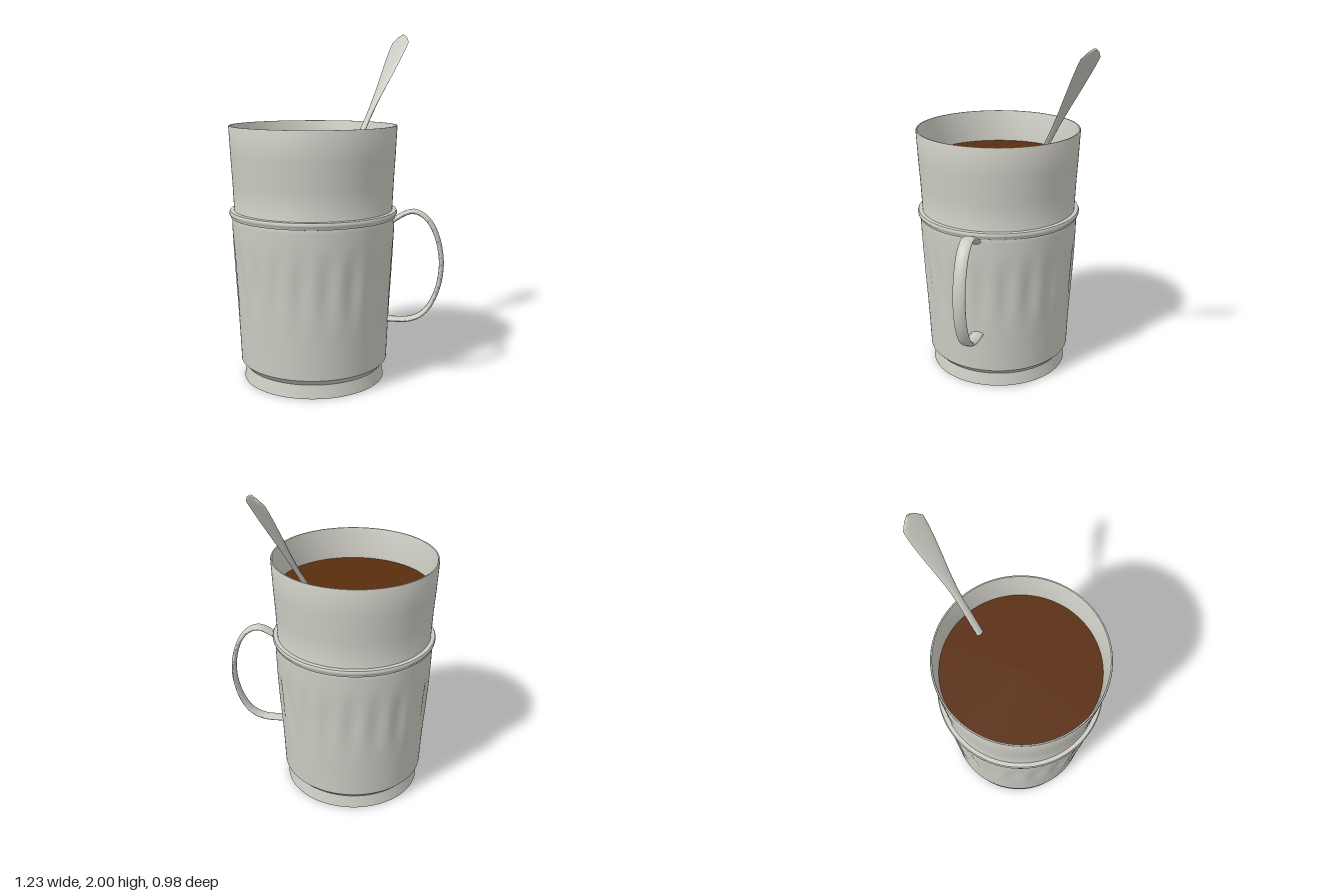
import * as THREE from 'three';
import { toCreasedNormals } from 'three/addons/utils/BufferGeometryUtils.js';

const metal = new THREE.MeshStandardMaterial({ color: 0xcdccc4 });
metal.name = 'metal';
const coffee = new THREE.MeshStandardMaterial({ color: 0x5a2d0f });
coffee.name = 'coffee';

const LEVEL = 1.28; // height of the drink
const SEGMENTS = 160;
const FLUTES = 20;

function part(name, geometry, material) {
  const mesh = new THREE.Mesh(geometry, material);
  mesh.name = name;
  return mesh;
}

function lathe(points) {
  return new THREE.LatheGeometry(points.map(([r, y]) => new THREE.Vector2(r, y)), SEGMENTS);
}

// Skin elliptical sections { c, u, v }, where u x v points along the path
function loft(sections, sides) {
  const positions = [], index = [];
  const last = sections.length - 1;
  for (const { c, u, v } of sections) {
    for (let j = 0; j < sides; j++) {
      const a = (j / sides) * Math.PI * 2;
      const p = c.clone().addScaledVector(u, Math.cos(a)).addScaledVector(v, Math.sin(a));
      positions.push(p.x, p.y, p.z);
    }
  }
  const start = sections.length * sides;
  positions.push(...sections[0].c.toArray(), ...sections[last].c.toArray());
  for (let j = 0; j < sides; j++) {
    const k = (j + 1) % sides;
    for (let i = 0; i < last; i++) {
      const a = i * sides, b = a + sides;
      index.push(a + j, a + k, b + k, a + j, b + k, b + j);
    }
    index.push(start, k, j, start + 1, last * sides + j, last * sides + k);
  }
  const geometry = new THREE.BufferGeometry();
  geometry.setAttribute('position', new THREE.Float32BufferAttribute(positions, 3));
  geometry.setIndex(index);
  return toCreasedNormals(geometry, 0.9);
}

// Tumbler wall with recessed foot, bevel, tapered sides and open top
function cupGeometry() {
  const side = new THREE.CatmullRomCurve3([
    [0.427, 0.11], [0.437, 0.33], [0.455, 0.6], [0.464, 0.8], [0.467, 0.955],
  ].map(([r, y]) => new THREE.Vector3(r, y, 0))).getPoints(24).map((p) => [p.x, p.y]);
  const geometry = lathe([
    [0, 0.1], [0.345, 0.1], [0.345, 0], [0.41, 0], [0.395, 0.075],
    ...side,
    [0.454, 0.985], [0.461, 1.15], [0.47, 1.3], [0.478, 1.465], [0.476, 1.47],
    [0.469, 1.47], [0.467, 1.465], [0.447, LEVEL - 0.02],
  ]);
  // Press soft vertical flutes into the lower wall
  const pos = geometry.attributes.position;
  for (let i = 0; i < pos.count; i++) {
    const x = pos.getX(i), y = pos.getY(i), z = pos.getZ(i);
    if (y < 0.33 || y > 0.9) continue;
    const fade = Math.sin(((y - 0.33) / 0.57) * Math.PI) ** 2;
    const dent = 0.5 + 0.5 * Math.cos(FLUTES * Math.atan2(x, z));
    const s = 1 - 0.026 * fade * dent;
    pos.setXYZ(i, x * s, y, z * s);
  }
  return toCreasedNormals(geometry, 0.5);
}

// Flat oval strap bent in the x-y plane
function handleGeometry() {
  const curve = new THREE.CatmullRomCurve3([
    [0.445, 0.92], [0.5, 0.96], [0.575, 0.99], [0.645, 0.96], [0.705, 0.87], [0.74, 0.7],
    [0.715, 0.53], [0.65, 0.41], [0.57, 0.362], [0.425, 0.352],
  ].map(([r, y]) => new THREE.Vector3(r, y, 0)));
  const width = new THREE.Vector3(0, 0, 0.036);
  const sections = [];
  for (let i = 0; i <= 48; i++) {
    const t = curve.getTangentAt(i / 48);
    const v = new THREE.Vector3().crossVectors(t, width).normalize().multiplyScalar(0.014);
    sections.push({ c: curve.getPointAt(i / 48), u: width, v });
  }
  return loft(sections, 20);
}

// Straight leaning stem widening into a flat pointed end
function spoonGeometry() {
  const axis = new THREE.Vector3(0.611, 1, -0.16);
  const across = new THREE.Vector3(0.253, 0, 0.967);
  const normal = new THREE.Vector3().crossVectors(axis, across).normalize();
  // height, half width, half thickness
  const profile = [
    [1.24, 0.022, 0.011], [1.48, 0.021, 0.011], [1.56, 0.024, 0.01], [1.65, 0.034, 0.009],
    [1.75, 0.049, 0.008], [1.84, 0.061, 0.007], [1.91, 0.067, 0.007], [1.95, 0.067, 0.008],
    [1.982, 0.036, 0.008], [1.995, 0.012, 0.007],
  ];
  return loft(profile.map(([y, w, t]) => ({
    c: new THREE.Vector3(0.165, 1.28, -0.1).addScaledVector(axis, y - 1.28),
    u: across.clone().multiplyScalar(w),
    v: normal.clone().multiplyScalar(t),
  })), 16);
}

export function createModel() {
  const model = new THREE.Group();
  model.name = 'cupWithSpoon';

  const cup = new THREE.Group();
  cup.name = 'cup';
  cup.position.set(-0.14, 0, -0.017);
  model.add(cup);

  cup.add(part('cupBody', cupGeometry(), metal));

  // Raised bead around the waist
  const bead = lathe([
    [0.455, 0.948], [0.474, 0.952], [0.476, 0.964], [0.481, 0.969],
    [0.482, 0.98], [0.477, 0.99], [0.45, 0.992],
  ]);
  cup.add(part('waistRing', toCreasedNormals(bead, 0.7), metal));

  const drink = new THREE.CircleGeometry(0.45, 96).rotateX(-Math.PI / 2).translate(0, LEVEL, 0);
  cup.add(part('drink', drink, coffee));

  const handle = part('handle', handleGeometry(), metal);
  handle.rotation.y = -0.686;
  cup.add(handle);

  model.add(part('spoon', spoonGeometry(), metal));
  return model;
}
